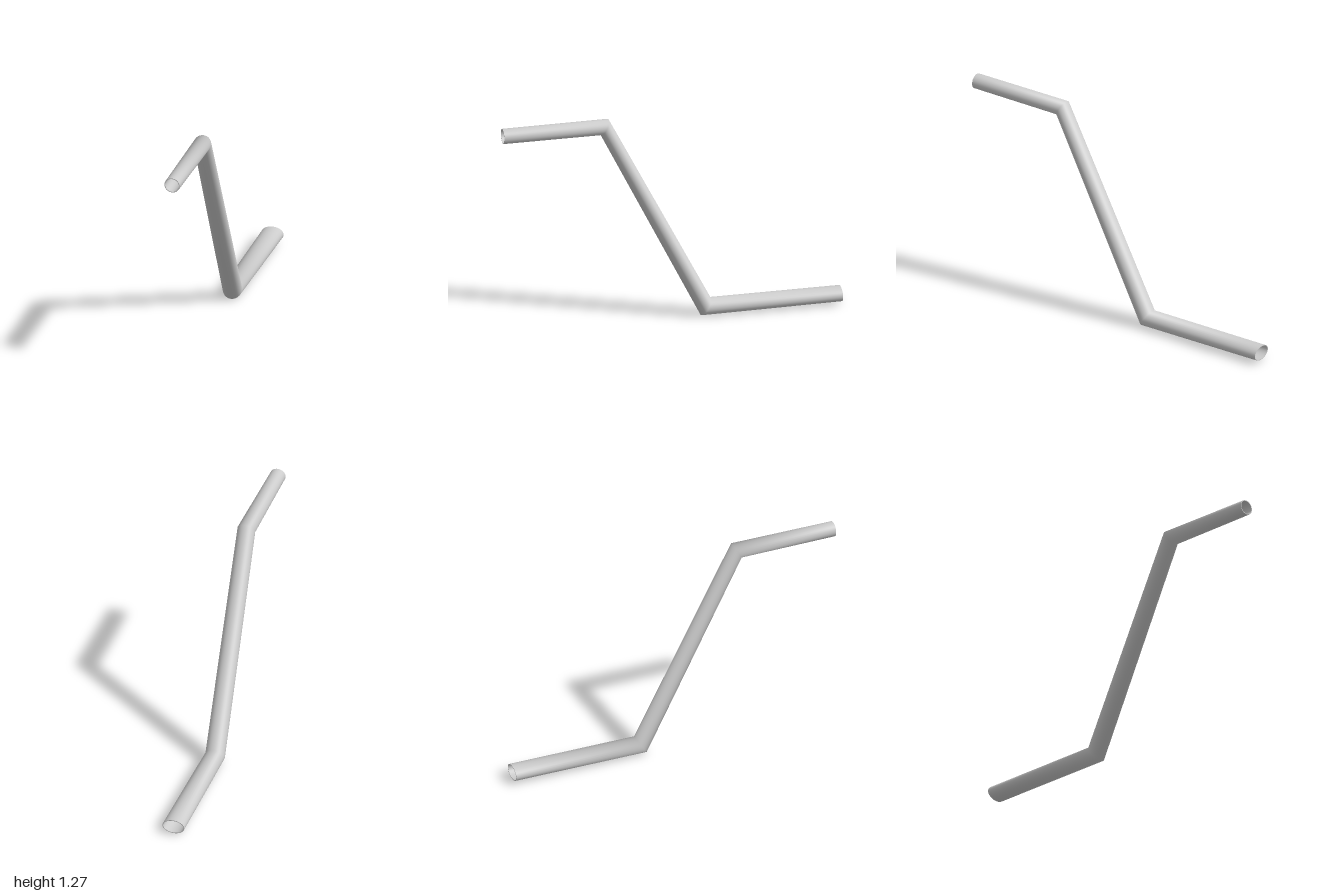
import * as THREE from 'three';

const SIDES = 32;
const WALL = 0.004;

// Mitred cross-sections from front to back: top [z, y], bottom [z, y], half width in x
const sections = [
  { top: [1, 1.274], bottom: [1, 1.186], half: 0.046 },
  { top: [0.372, 1.274], bottom: [0.422, 1.186], half: 0.053 },
  { top: [-0.232, 0.1], bottom: [-0.17, 0.002], half: 0.058 },
  { top: [-1, 0.097], bottom: [-1, 0.011], half: 0.066 },
];

// Closed elliptical ring of points, shrunk by an inset for the bore
function ring({ top, bottom, half }, inset) {
  const dz = (top[0] - bottom[0]) / 2, dy = (top[1] - bottom[1]) / 2;
  const k = 1 - inset / Math.hypot(dz, dy);
  return Array.from({ length: SIDES }, (_, j) => {
    const a = (j / SIDES) * Math.PI * 2, c = Math.cos(a) * k;
    return [
      Math.sin(a) * (half - inset),
      (top[1] + bottom[1]) / 2 + c * dy,
      (top[0] + bottom[0]) / 2 + c * dz,
    ];
  });
}

// Skin a list of rings with smooth normals
function loft(rings, name, material) {
  const index = [];
  for (let i = 0; i < rings.length - 1; i++) {
    for (let j = 0; j < SIDES; j++) {
      const n = (j + 1) % SIDES;
      const a = i * SIDES + j, b = i * SIDES + n;
      index.push(a, b, a + SIDES, b, b + SIDES, a + SIDES);
    }
  }
  const geometry = new THREE.BufferGeometry();
  geometry.setAttribute('position', new THREE.Float32BufferAttribute(rings.flat(2), 3));
  geometry.setIndex(index);
  geometry.computeVertexNormals();
  const mesh = new THREE.Mesh(geometry, material);
  mesh.name = name;
  return mesh;
}

export function createModel() {
  const group = new THREE.Group();
  group.name = 'bentPipe';
  const material = new THREE.MeshStandardMaterial({ color: 0xcccccc });
  const outer = sections.map((s) => ring(s, 0));
  const inner = sections.map((s) => ring(s, WALL));
  const last = sections.length - 1;

  group.add(
    loft(outer, 'pipeOuterWall', material),
    loft([...inner].reverse(), 'pipeInnerWall', material),
    loft([inner[0], outer[0]], 'frontRim', material),
    loft([outer[last], inner[last]], 'backRim', material),
  );
  return group;
}
